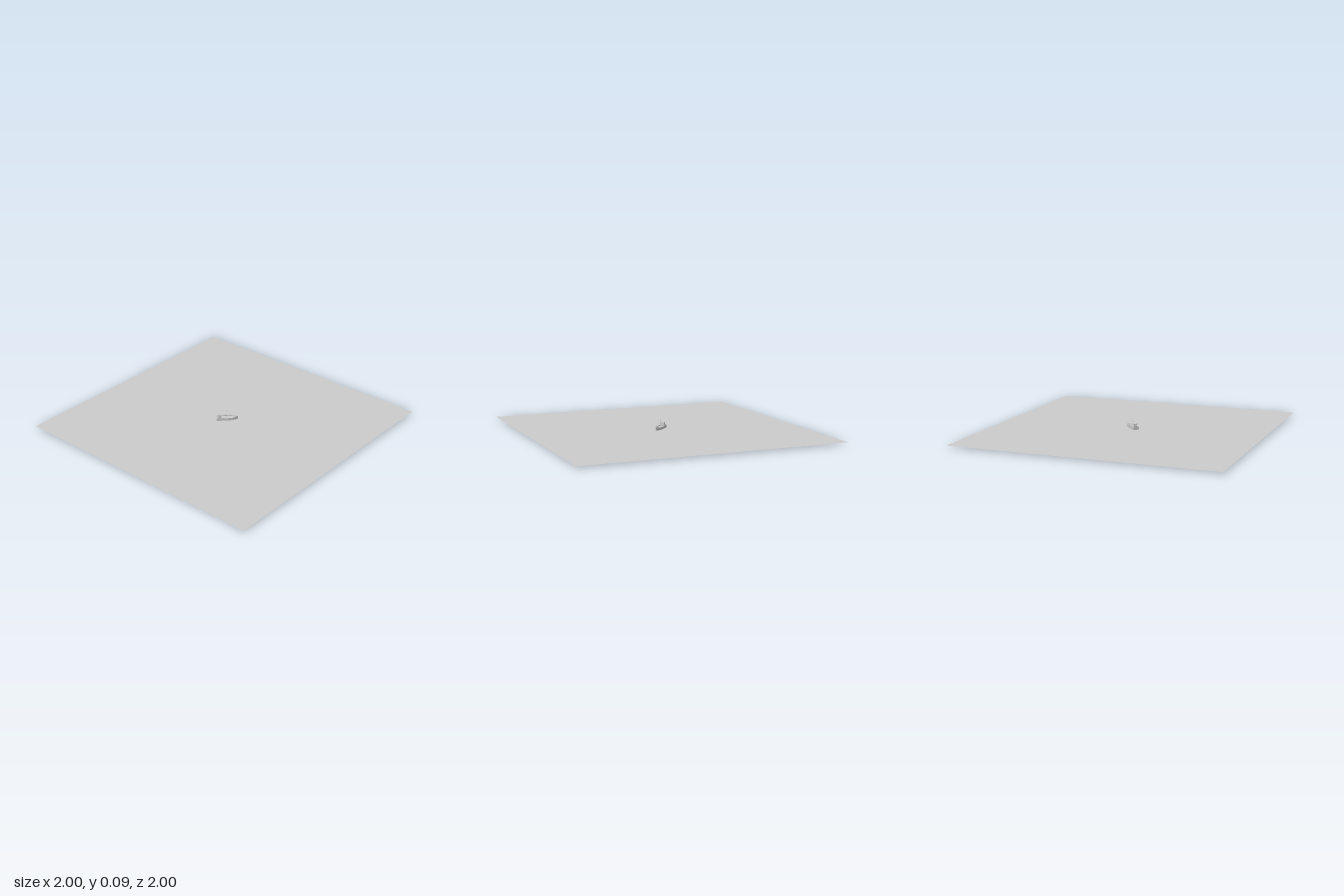
import * as THREE from 'three';

const material = new THREE.MeshStandardMaterial({ color: 0xcccccc, flatShading: true, side: THREE.DoubleSide });
const DECK = 0.025;

function add(parent, name, geometry, x = 0, y = 0, z = 0) {
  const mesh = new THREE.Mesh(geometry, material);
  mesh.name = name;
  mesh.position.set(x, y, z);
  parent.add(mesh);
  return mesh;
}

function box(parent, name, l, h, w, x, y, z = 0) {
  return add(parent, name, new THREE.BoxGeometry(l, h, w), x, y + h / 2, z);
}

// Thin round bar between two points
function bar(parent, name, from, to, radius) {
  const a = new THREE.Vector3(...from), b = new THREE.Vector3(...to);
  const mesh = add(parent, name, new THREE.CylinderGeometry(radius, radius, a.distanceTo(b), 6));
  mesh.position.copy(a).add(b).multiplyScalar(0.5);
  mesh.quaternion.setFromUnitVectors(new THREE.Vector3(0, 1, 0), b.sub(a).normalize());
  return mesh;
}

// Stations along the hull: position, half beam, rail height, keel height
const stations = [
  [-0.073, 0.022, 0.033, 0.003], [-0.066, 0.024, 0.033, 0], [0.02, 0.024, 0.032, 0],
  [0.045, 0.021, 0.032, 0], [0.065, 0.014, 0.033, 0], [0.08, 0.006, 0.034, 0.002],
  [0.089, 0.0012, 0.035, 0.006],
];

// Hull lofted through U-shaped sections with a sunken deck and bulwarks
function hullGeometry() {
  const positions = [], index = [];
  for (const [x, w, top, keel] of stations) {
    const inner = Math.max(w - 0.0015, w * 0.4);
    const half = [[w * 0.75, keel], [w * 0.95, 0.011], [w, top], [inner, top], [inner, DECK]];
    const ring = [[0, keel], ...half.map(([z, y]) => [-z, y]), [0, DECK], ...half.slice().reverse()];
    for (const [z, y] of ring) positions.push(x, y, z);
  }
  const n = 12, last = (stations.length - 1) * n;
  for (let i = 0; i < last; i += n) {
    for (let j = 0; j < n; j++) {
      const k = (j + 1) % n;
      index.push(i + j, i + k, i + n + j, i + k, i + n + k, i + n + j);
    }
  }
  for (let j = 1; j < n - 1; j++) {
    index.push(0, j + 1, j);
    index.push(last, last + j, last + j + 1);
  }
  const geometry = new THREE.BufferGeometry();
  geometry.setAttribute('position', new THREE.Float32BufferAttribute(positions, 3));
  geometry.setIndex(index);
  geometry.computeVertexNormals();
  return geometry;
}

export function createModel() {
  const model = new THREE.Group();
  model.name = 'shipOnWater';

  // Flat sheet of water
  const water = add(model, 'water', new THREE.PlaneGeometry(2, 2), 0, 0.012, 0);
  water.rotation.x = -Math.PI / 2;

  // Ship, lying diagonally with the bow along local +x
  const ship = new THREE.Group();
  ship.name = 'ship';
  ship.rotation.y = Math.PI / 4;
  model.add(ship);

  add(ship, 'hull', hullGeometry());
  box(ship, 'transomBulwark', 0.0015, 0.008, 0.043, -0.0722, DECK);

  // Wheelhouse at the stern
  box(ship, 'deckhouse', 0.028, 0.015, 0.03, -0.05, DECK);
  box(ship, 'wheelhouse', 0.02, 0.013, 0.026, -0.048, 0.04);
  box(ship, 'wheelhouseRoof', 0.024, 0.002, 0.029, -0.048, 0.053);
  for (let i = -1; i <= 1; i++) box(ship, 'frontWindow', 0.001, 0.005, 0.006, -0.038, 0.046, i * 0.008);
  for (const side of [-1, 1]) {
    for (const x of [-0.053, -0.044]) box(ship, 'sideWindow', 0.006, 0.005, 0.001, x, 0.046, side * 0.013);
  }
  add(ship, 'funnel', new THREE.CylinderGeometry(0.0025, 0.003, 0.013, 10), -0.061, 0.0465, 0);

  // Cargo hatches and foredeck fittings
  for (const x of [-0.014, 0.02]) {
    box(ship, 'hatchCoaming', 0.026, 0.003, 0.026, x, DECK);
    box(ship, 'hatchCover', 0.028, 0.001, 0.028, x, DECK + 0.003);
  }
  box(ship, 'windlass', 0.005, 0.004, 0.01, 0.058, DECK);
  for (const side of [-1, 1]) {
    add(ship, 'bollard', new THREE.CylinderGeometry(0.001, 0.001, 0.004, 6), 0.066, DECK + 0.002, side * 0.006);
  }

  // Mast, cargo booms and stays
  bar(ship, 'mast', [0.003, DECK, 0], [0.003, 0.09, 0], 0.0008);
  bar(ship, 'crosstree', [0.003, 0.075, -0.006], [0.003, 0.075, 0.006], 0.0005);
  bar(ship, 'foreBoom', [0.003, 0.036, 0], [0.042, 0.06, 0], 0.0006);
  bar(ship, 'aftBoom', [0.003, 0.036, 0], [-0.03, 0.06, 0], 0.0006);
  bar(ship, 'foreStay', [0.003, 0.088, 0], [0.086, 0.035, 0], 0.0002);
  bar(ship, 'aftStay', [0.003, 0.088, 0], [-0.048, 0.055, 0], 0.0002);
  for (const side of [-1, 1]) bar(ship, 'shroud', [0.003, 0.075, 0], [0.003, 0.032, side * 0.023], 0.0002);

  // Small signal mast on the wheelhouse roof
  bar(ship, 'signalMast', [-0.05, 0.055, 0], [-0.05, 0.07, 0], 0.0005);
  bar(ship, 'signalYard', [-0.05, 0.067, -0.006], [-0.05, 0.067, 0.006], 0.0004);

  return model;
}
